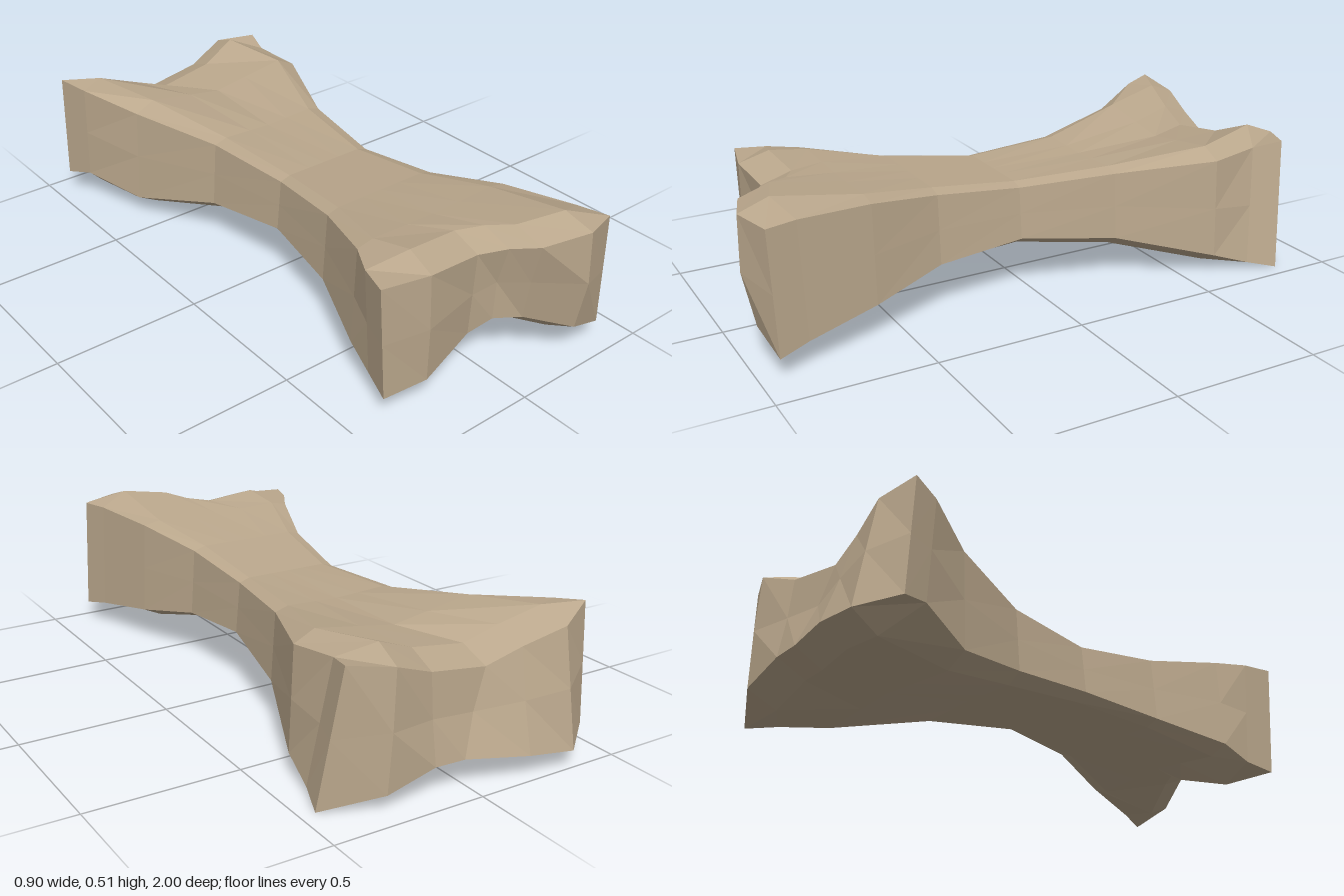
import * as THREE from 'three';

// Rims of the two knuckled ends, left to right as [x, y, z]
const frontTop = [[-.405, .455, .80], [-.25, .455, .835], [-.06, .44, .825], [.02, .45, .87], [.08, .465, .94], [.235, .48, .99], [.36, .47, .95]];
const frontBottom = [[-.38, .065, .80], [-.24, .085, .83], [-.05, .145, .80], [.02, .185, .83], [.095, .185, .88], [.245, .125, .96], [.38, .075, .94]];
const backTop = [[-.45, .475, -.89], [-.34, .43, -.935], [-.2, .385, -.905], [-.08, .345, -.89], [.12, .375, -.90], [.26, .43, -.93], [.385, .44, -.87]];
const backBottom = [[-.45, .09, -.91], [-.34, .06, -1], [-.18, .08, -.99], [.02, .10, -.94], [.12, .10, -.935], [.28, .055, -.93], [.45, .005, -.83]];

// Shaft stations: z, left x, right x, then [y, edge bevel, middle groove] for top and bottom
const shaft = [
  [-.6, -.335, .395, [.455, -.045, -.055], [.03, .045, .03]],
  [-.28, -.22, .265, [.397, -.016, -.01], [.122, .035, .01]],
  [.05, -.19, .207, [.385, -.012, 0], [.176, .025, 0]],
  [.35, -.24, .222, [.42, -.012, 0], [.16, .02, .01]],
  [.6, -.335, .295, [.465, -.014, -.01], [.095, .035, .03]],
];
const across = [-1, -.8, -.35, 0, .35, .8, 1];

const isEdge = (i) => i === 0 || i === 6;
const mid = (a, b) => a.map((v, k) => (v + b[k]) / 2);

// Closed ring: top row, right side, bottom row reversed, left side
const ring = (top, bottom) => [
  ...top, mid(top[6], bottom[6]), ...[...bottom].reverse(), mid(top[0], bottom[0]),
];

// Swollen rim just inboard of an end; its outer corners run on towards the shaft
function swell(row, lift, edgeLift) {
  return row.map(([x, y, z], i) => [
    x * (isEdge(i) ? .925 : .96), y + (isEdge(i) ? edgeLift : lift), z - Math.sign(z) * .1,
  ]);
}

// Section of the shaft: bevelled edges, sides leaning in towards the top
function shaftRing([z, left, right, top, bottom]) {
  const row = ([y, bevel, groove], inset) => across.map((u, i) => [
    (left + right) / 2 + u * ((right - left) / 2 - inset),
    y + (isEdge(i) ? bevel : groove * (1 - Math.abs(u))),
    z,
  ]);
  return ring(row(top, .017), row(bottom, 0));
}

function boneGeometry() {
  const pos = [];
  const quad = (a, b, c, d) => pos.push(...a, ...b, ...c, ...a, ...c, ...d);

  const rings = [
    ring(backTop, backBottom),
    ring(swell(backTop, .038, -.016), swell(backBottom, -.045, .025)),
    ...shaft.map(shaftRing),
    ring(swell(frontTop, .032, 0), swell(frontBottom, -.045, .02)),
    ring(frontTop, frontBottom),
  ];
  for (let s = 0; s < rings.length - 1; s++) {
    const p = rings[s], q = rings[s + 1], n = p.length;
    for (let i = 0; i < n; i++) {
      const j = (i + 1) % n;
      quad(p[i], q[i], q[j], p[j]);
    }
  }

  // End faces, bulged or grooved along their middle line
  function cap(top, bottom, push, front) {
    const middle = top.map((t, i) => {
      const m = mid(t, bottom[i]);
      m[2] += push[i];
      return m;
    });
    const rows = [top, middle, bottom];
    for (let r = 0; r < 2; r++) {
      for (let i = 0; i < 6; i++) {
        const c = [rows[r][i], rows[r + 1][i], rows[r + 1][i + 1], rows[r][i + 1]];
        quad(...(front ? c : c.reverse()));
      }
    }
  }
  cap(frontTop, frontBottom, [0, .005, 0, -.015, -.005, .02, 0], true);
  cap(backTop, backBottom, [0, 0, .005, .01, .005, -.005, 0], false);

  const geo = new THREE.BufferGeometry();
  geo.setAttribute('position', new THREE.Float32BufferAttribute(pos, 3));
  geo.computeVertexNormals();
  return geo;
}

export function createModel() {
  const group = new THREE.Group();
  group.name = 'boneModel';
  const bone = new THREE.Mesh(
    boneGeometry(),
    new THREE.MeshStandardMaterial({ color: 0xbaa78c, flatShading: true }),
  );
  bone.name = 'bone';
  group.add(bone);
  return group;
}
